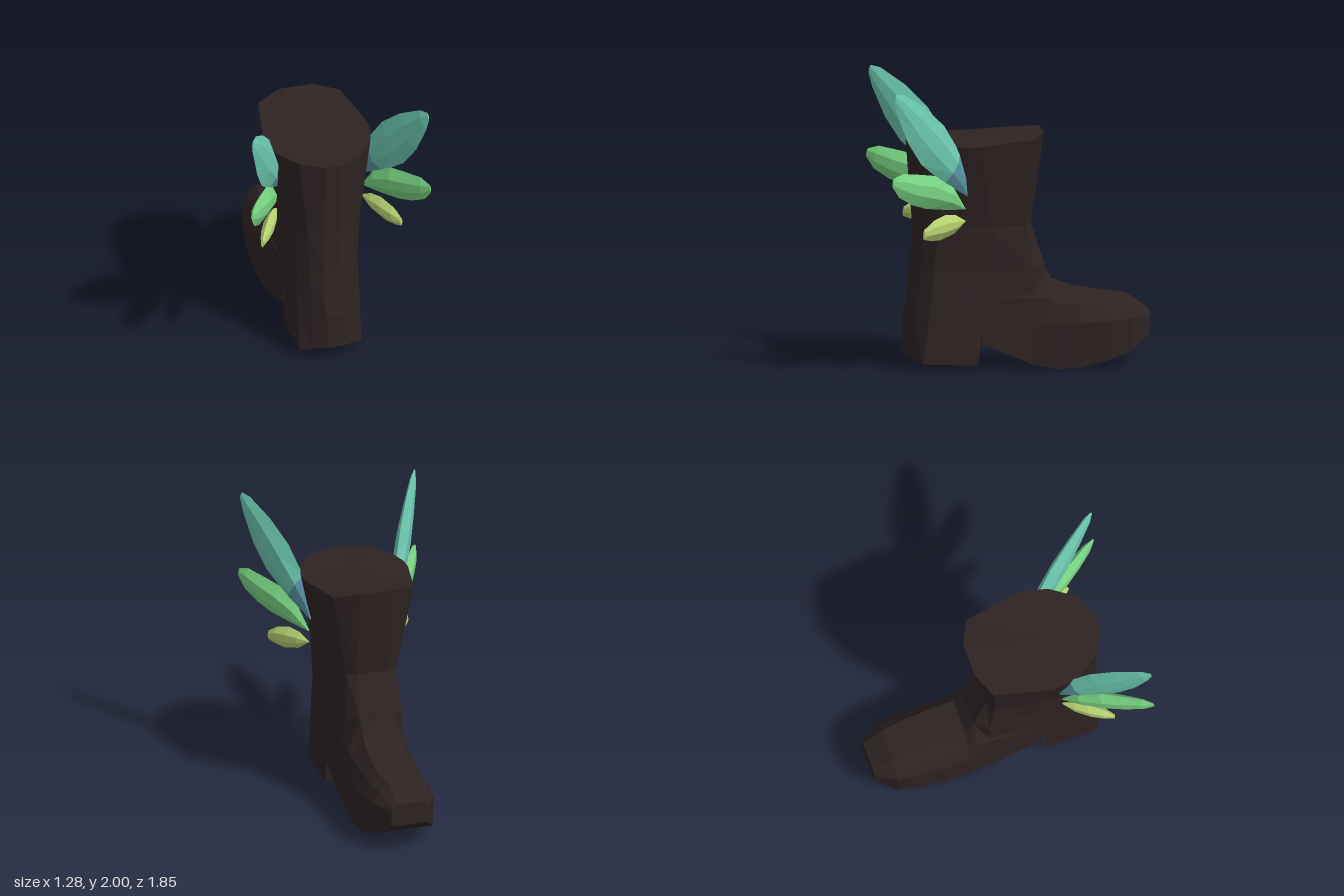
import * as THREE from 'three';

const mat = (name, color) => {
  const m = new THREE.MeshStandardMaterial({ color });
  m.name = name;
  return m;
};

// Faceted closed loft through rings of [x, y, z] points, always facing outwards
function loft(rings) {
  const tris = [];
  const n = rings[0].length;
  for (let r = 0; r < rings.length - 1; r++) {
    for (let i = 0; i < n; i++) {
      const j = (i + 1) % n, a = rings[r], b = rings[r + 1];
      tris.push([a[i], a[j], b[j]], [a[i], b[j], b[i]]);
    }
  }
  const cap = (ring, flip) => {
    const c = [0, 1, 2].map(k => ring.reduce((s, p) => s + p[k], 0) / n);
    ring.forEach((p, i) => {
      const q = ring[(i + 1) % n];
      tris.push(flip ? [c, q, p] : [c, p, q]);
    });
  };
  cap(rings[0], true);
  cap(rings[rings.length - 1], false);

  // Signed volume tells whether the winding must be reversed
  const vol = tris.reduce((s, t) => {
    const [a, b, c] = t.map(p => new THREE.Vector3(...p));
    return s + a.dot(b.cross(c));
  }, 0);
  if (vol < 0) tris.forEach(t => t.reverse());
  const g = new THREE.BufferGeometry();
  g.setAttribute('position', new THREE.Float32BufferAttribute(tris.flat(2), 3));
  g.computeVertexNormals();
  return g;
}

// Close a half ring with its mirror image across x = 0
const mirrorRing = half => [...half, ...half.map(([x, y, z]) => [-x, y, z]).reverse()];

// Shaft and heel: half rings of [x, z] from the instep round to the back, with a height rule
const SHAFT = [
  [i => [.04, .04, .045, .05, .06, .09, .11][i],
    [[.12, .28], [.22, .28], [.22, .35], [.22, .45], [.22, .66], [.14, .71], [.05, .76]]],
  [() => .35, [[.12, .24], [.21, .24], [.22, .3], [.22, .4], [.22, .62], [.14, .7], [.05, .76]]],
  [() => .48, [[.12, -.2], [.2, -.11], [.215, .2], [.22, .4], [.22, .6], [.14, .69], [.07, .735]]],
  [() => .7, [[.12, -.2], [.2, -.11], [.215, .2], [.218, .4], [.215, .58], [.15, .66], [.06, .715]]],
  [() => 1, [[.11, -.1], [.18, -.06], [.235, .2], [.24, .4], [.235, .56], [.16, .65], [.06, .695]]],
  [i => [1.64, 1.61, 1.58, 1.58, 1.58, 1.58, 1.57][i],
    [[.12, -.19], [.29, -.11], [.37, .27], [.37, .36], [.33, .5], [.22, .66], [.05, .74]]],
];

// Foot: z, then half section of [x, y] from sole edge to instep
const FOOT = [
  [.25, [[.215, .19], [.215, .35], [.215, .5], [.12, .6]]],
  [-.1, [[.215, .04], [.22, .32], [.215, .5], [.12, .69]]],
  [-.2, [[.215, .02], [.225, .32], [.21, .5], [.12, .69]]],
  [-.26, [[.215, .005], [.23, .32], [.2, .45], [.12, .585]]],
  [-.43, [[.22, .01], [.245, .32], [.2, .44], [.13, .525]]],
  [-.61, [[.22, .055], [.24, .33], [.19, .43], [.13, .495]]],
  [-.78, [[.21, .12], [.22, .345], [.17, .42], [.11, .475]]],
  [-.92, [[.13, .22], [.13, .33], [.12, .36], [.09, .38]]],
];

// Feathers: stations of upper z, upper y, lower z, lower y, thickness
const TOP_FEATHER = [
  [.363, 1.24, .367, 1.23, .01], [.37, 1.38, .44, 1.28, .05], [.42, 1.54, .54, 1.34, .085],
  [.54, 1.74, .71, 1.49, .085], [.68, 1.88, .81, 1.65, .065], [.84, 1.99, .89, 1.85, .04],
  [.9, 2, .915, 1.95, .01],
];
const MIDDLE_FEATHER = [
  [.38, 1.15, .38, 1.14, .01], [.47, 1.31, .52, 1.155, .075], [.6, 1.4, .67, 1.18, .09],
  [.73, 1.425, .78, 1.22, .075], [.85, 1.445, .88, 1.285, .05], [.92, 1.42, .93, 1.365, .01],
];
const BOTTOM_FEATHER = [
  [.38, 1.065, .38, 1.055, .01], [.45, 1.11, .46, .985, .06], [.53, 1.12, .57, .95, .075],
  [.62, 1.09, .645, .955, .06], [.69, 1.035, .695, .97, .02],
];

// Six-sided blade lying in an upright plane that splays outwards to the back
function featherRings(stations, side) {
  const at = (z, y, off) => [side * (.3 + .6 * (z - .37) + .857 * off), y, z - .514 * off];
  return stations.map(([uz, uy, lz, ly, t]) => {
    const p = (k, s) => at(uz + (lz - uz) * k, uy + (ly - uy) * k, s * t / 2);
    return [p(0, 0), p(.32, 1), p(.66, 1), p(1, 0), p(.66, -1), p(.32, -1)];
  });
}

export function createModel() {
  const leather = mat('dark leather', 0x2e2323);
  const teal = mat('teal', 0x6cc8b0);
  const blue = mat('slate blue', 0x5c98a8);
  const green = mat('green', 0x78d482);
  const lime = mat('lime', 0xb8d272);

  const model = new THREE.Group();
  model.name = 'wingedBoot';
  const add = (parent, name, rings, material) => {
    const mesh = new THREE.Mesh(loft(rings), material);
    mesh.name = name;
    parent.add(mesh);
  };

  // Boot
  add(model, 'shaftAndHeel',
    SHAFT.map(([y, pts]) => mirrorRing(pts.map(([x, z], i) => [x, y(i), z]))), leather);
  add(model, 'foot',
    FOOT.map(([z, pts]) => mirrorRing(pts.map(([x, y]) => [x, y, z]))), leather);

  // Wings
  for (const side of [1, -1]) {
    const wing = new THREE.Group();
    wing.name = side > 0 ? 'leftWing' : 'rightWing';
    const top = featherRings(TOP_FEATHER, side);
    add(wing, 'topFeatherBase', top.slice(0, 3), blue);
    add(wing, 'topFeather', top.slice(2), teal);
    add(wing, 'middleFeather', featherRings(MIDDLE_FEATHER, side), green);
    add(wing, 'bottomFeather', featherRings(BOTTOM_FEATHER, side), lime);
    model.add(wing);
  }
  return model;
}
